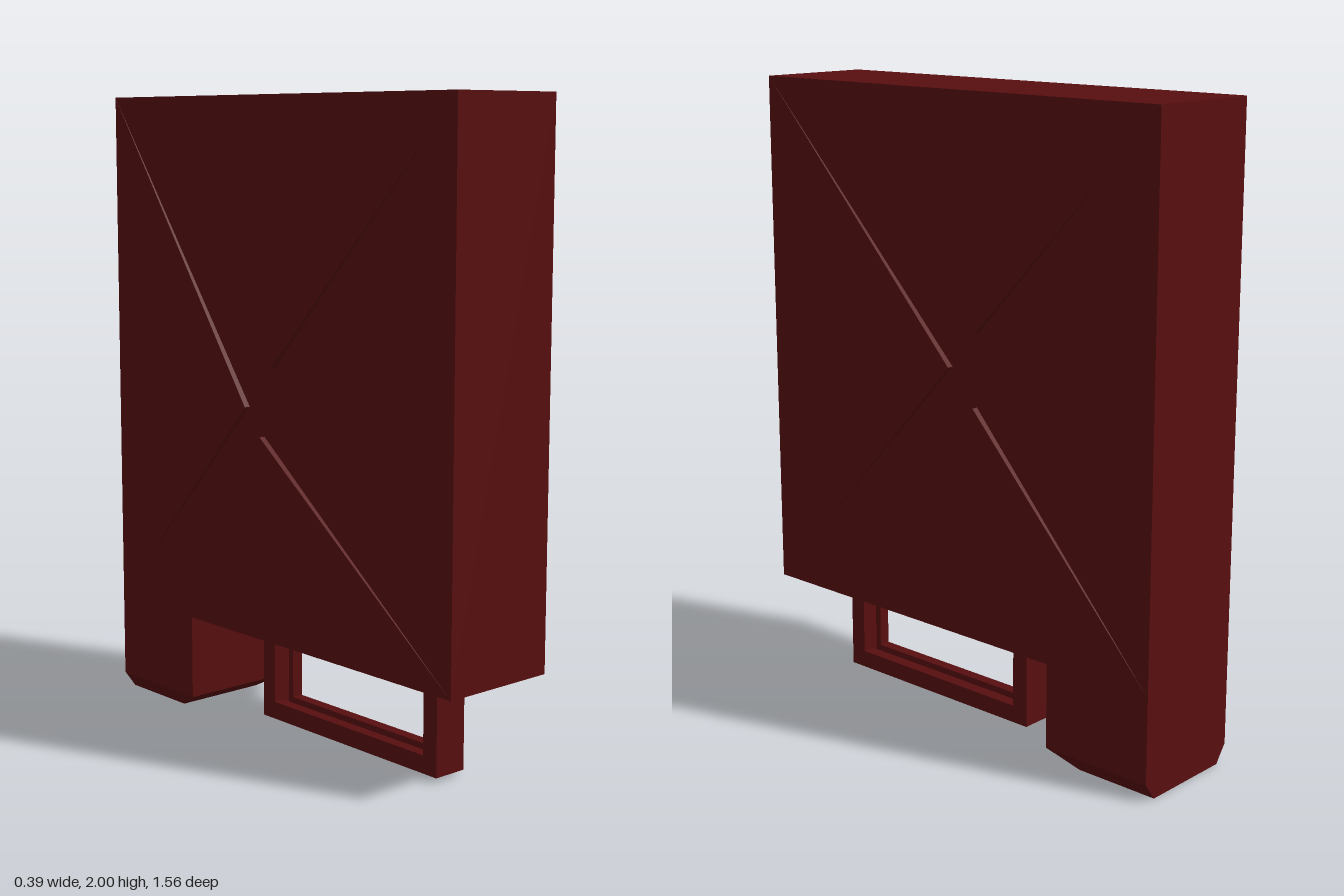
import * as THREE from 'three';

const W = 0.195, Z = 0.78, BASE = 0.325, TOP = 2, DENT = 0.02;

// Flat-shaded geometry from a list of convex polygons, skipping empty triangles
function facets(polygons) {
  const pos = [];
  const ab = new THREE.Vector3(), ac = new THREE.Vector3();
  for (const p of polygons) {
    for (let i = 1; i < p.length - 1; i++) {
      const [a, b, c] = [p[0], p[i], p[i + 1]];
      ab.subVectors(b, a);
      ac.subVectors(c, a);
      if (ab.cross(ac).length() < 1e-6) continue;
      for (const v of [a, b, c]) pos.push(v.x, v.y, v.z);
    }
  }
  const g = new THREE.BufferGeometry();
  g.setAttribute('position', new THREE.Float32BufferAttribute(pos, 3));
  g.computeVertexNormals();
  return g;
}

// One pressed side: flush panels around a cross that sinks towards its middle
function pressedSide(side, { frontTop, a, b, c, d1, d2 }) {
  const tf = [Z, TOP], bf = [Z, BASE], tb = [-Z, TOP], bb = [-Z, BASE];
  const sunk = new Set([a, b, c, d1, d2]);
  const outer = ([z, y]) => new THREE.Vector3(side * W, y, z);
  const floor = (p) => new THREE.Vector3(side * (W - (sunk.has(p) ? DENT : 0)), p[1], p[0]);
  const polys = [];

  // raised panels with the walls dropping to the cross
  for (const panel of [[frontTop, a, tb], [tf, bf, b], [bf, bb, c], [bb, tb, d1, d2]]) {
    polys.push(panel.map(outer));
    panel.forEach((p, i) => {
      const q = panel[(i + 1) % panel.length];
      polys.push([outer(p), floor(p), floor(q)], [outer(p), floor(q), outer(q)]);
    });
  }
  // four arms and the centre of the cross
  for (const part of [[tf, b, a, frontTop], [bf, c, b], [bb, d2, c], [tb, a, d1], [a, b, c, d2, d1]]) {
    polys.push(part.map(floor));
  }
  if (side < 0) polys.forEach((p) => p.reverse());
  return facets(polys);
}

// Rectangular frame plate in the z-y plane
function framePlate(z0, z1, y0, y1, rimZ, rimY, x0, x1) {
  const rect = (T, l, r, b, t) => {
    const s = new T();
    s.moveTo(l, b).lineTo(r, b).lineTo(r, t).lineTo(l, t).closePath();
    return s;
  };
  const shape = rect(THREE.Shape, -z1, -z0, y0, y1);
  shape.holes.push(rect(THREE.Path, -z1 + rimZ, -z0 - rimZ, y0 + rimY, y1 - rimY));
  const g = new THREE.ExtrudeGeometry(shape, { depth: x1 - x0, bevelEnabled: false });
  return g.rotateY(Math.PI / 2).translate(x0, 0, 0);
}

export function createModel() {
  const model = new THREE.Group();
  model.name = 'fuelCan';
  const red = new THREE.MeshStandardMaterial({ color: 0x580e0f });
  red.name = 'darkRed';
  const add = (parent, name, geometry) => {
    const mesh = new THREE.Mesh(geometry, red);
    mesh.name = name;
    parent.add(mesh);
    return mesh;
  };

  // Body: four plain walls and two pressed sides
  const body = new THREE.Group();
  body.name = 'body';
  model.add(body);
  const ring = [[Z, TOP], [Z, BASE], [-Z, BASE], [-Z, TOP]];
  add(body, 'bodyWalls', facets(ring.map(([z, y], i) => {
    const [z2, y2] = ring[(i + 1) % 4];
    return [
      new THREE.Vector3(W, y, z), new THREE.Vector3(-W, y, z),
      new THREE.Vector3(-W, y2, z2), new THREE.Vector3(W, y2, z2),
    ];
  })));
  add(body, 'leftSide', pressedSide(1, {
    frontTop: [0.63, TOP], a: [-0.11, 1.29], b: [0, 1.17], c: [-0.1, 1.06],
    d1: [-0.4, 1.43], d2: [-0.4, 1.02],
  }));
  const backTip = [-0.12, 1.05];
  add(body, 'rightSide', pressedSide(-1, {
    frontTop: [Z, TOP], a: [0, 1.18], b: [0.06, 1.1], c: [-0.05, 0.965],
    d1: backTip, d2: backTip,
  }));

  // Neck under the back, with a cap tapering at the front and sides
  const neckZ = -0.59, neckLength = 0.38, capTop = 0.055;
  const neck = new THREE.BoxGeometry(2 * W, BASE - capTop, neckLength);
  add(model, 'neck', neck.translate(0, (BASE + capTop) / 2, neckZ));
  const cap = new THREE.BoxGeometry(2 * W, capTop, neckLength);
  cap.translate(0, capTop / 2, neckZ);
  const p = cap.attributes.position;
  for (let i = 0; i < p.count; i++) {
    if (p.getY(i) > 0.01) continue;
    p.setX(i, Math.sign(p.getX(i)) * 0.155);
    if (p.getZ(i) > neckZ) p.setZ(i, -0.5);
  }
  cap.computeVertexNormals();
  add(model, 'cap', cap);

  // Handle: two rims with a thinner core, leaving a groove inside the grip
  const handle = new THREE.Group();
  handle.name = 'handle';
  model.add(handle);
  const frame = (rim, x0, x1) => framePlate(-0.2, 0.59, 0.015, BASE, rim, rim, x0, x1);
  add(handle, 'handleRimLeft', frame(0.056, 0.02, 0.057));
  add(handle, 'handleCore', frame(0.035, -0.02, 0.02));
  add(handle, 'handleRimRight', frame(0.056, -0.057, -0.02));

  return model;
}
